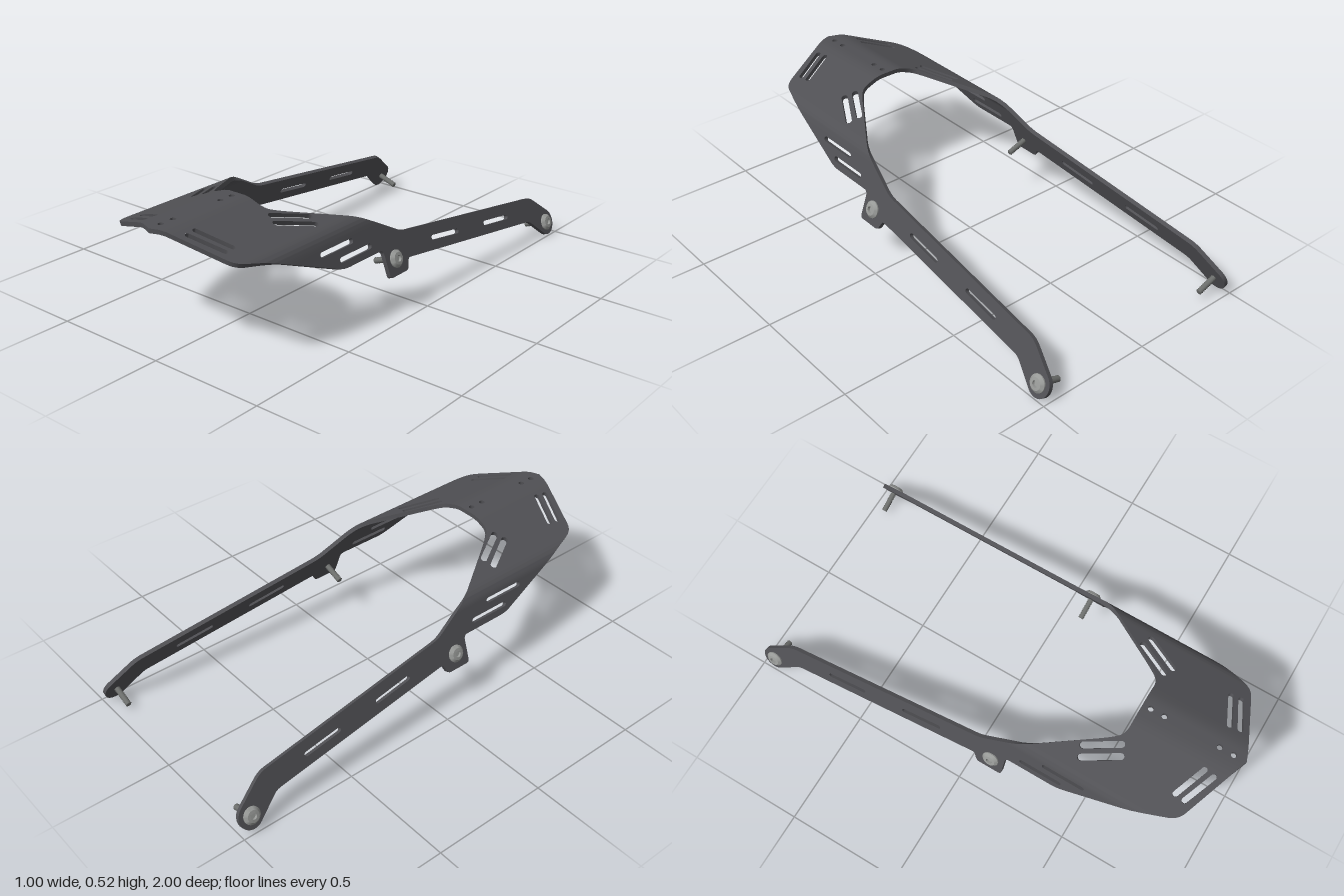
import * as THREE from 'three';
import { toCreasedNormals } from 'three/addons/utils/BufferGeometryUtils.js';

const V2 = (x, y) => new THREE.Vector2(x, y);
const THICK = 0.018;
const SHIFT = 0.006; // the cut pattern sits slightly to the left of the folds

// Folded section of the sheet, outer face, from the centre to the left foot
const halfProfile = [
  [0.04, 0.523], [0.068, 0.518], [0.317, 0.428], [0.332, 0.4207],
  [0.345, 0.4108], [0.3547, 0.3982], [0.362, 0.383], [0.504, -0.01],
].map(p => V2(...p));
const nodes = [...halfProfile.map(p => V2(-p.x, p.y)).reverse(), ...halfProfile];

// Distance along the section (zero at the centre) and inward mitred offsets
const dist = [0];
for (let i = 1; i < nodes.length; i++) dist.push(dist[i - 1] + nodes[i].distanceTo(nodes[i - 1]));
const us = dist.map(d => d - dist[dist.length - 1] / 2);
const segNormal = i => {
  const d = nodes[i + 1].clone().sub(nodes[i]).normalize();
  return V2(d.y, -d.x);
};
const offsets = nodes.map((_, i) => {
  const a = segNormal(Math.max(i - 1, 0)), b = segNormal(Math.min(i, nodes.length - 2));
  const m = a.clone().add(b).normalize();
  return m.divideScalar(m.dot(a));
});

// Fold a flat point: distance u along the section, z, and depth w into the sheet
function fold(u, z, w) {
  let i = 0;
  while (i < us.length - 2 && u > us[i + 1]) i++;
  const t = (u - us[i]) / (us[i + 1] - us[i]);
  const p = nodes[i].clone().lerp(nodes[i + 1], t);
  p.addScaledVector(offsets[i].clone().lerp(offsets[i + 1], t), w);
  return [p.x, p.y, z];
}

// Convert a width x or a height y on the left half to a distance along the section
function unfold(axis, value) {
  if (axis === 'x' && value <= halfProfile[0].x) return value;
  for (let i = nodes.length / 2; i < nodes.length - 1; i++) {
    const t = (value - nodes[i][axis]) / (nodes[i + 1][axis] - nodes[i][axis]);
    if (t <= 1 || i === nodes.length - 2) return us[i] + t * (us[i + 1] - us[i]);
  }
}
const T = (x, z, r = 0) => ({ p: V2(unfold('x', x), z), r });
const S = (z, y, r = 0) => ({ p: V2(unfold('y', y), z), r });

// Flat pattern of the left half: plate nose, side, tab, arm, round foot and back again
const foot = [];
for (let i = 0; i <= 12; i++) {
  const a = THREE.MathUtils.degToRad(-46 - 15 * i);
  foot.push(S(-0.947 + 0.053 * Math.cos(a), 0.065 + 0.053 * Math.sin(a)));
}
const corners = [
  T(0, 1), T(0.306, 0.882, 0.04), T(0.345, 0.76, 0.04),
  S(0.405, 0.278, 0.03), S(0.17, 0.278, 0.02), S(0.168, 0.167, 0.015), S(0.055, 0.167, 0.015),
  S(0.035, 0.209, 0.012), S(-0.82, 0.102, 0.02),
  ...foot,
  S(-0.865, 0.194, 0.03), S(0.04, 0.315, 0.03), S(0.222, 0.41, 0.04),
  T(0.168, 0.505, 0.06), T(0.131, 0.549, 0.04), T(0, 0.549),
];

function roundCorners(list) {
  const out = [];
  list.forEach(({ p, r }, i) => {
    if (!r) return out.push(p);
    const ends = [list[i - 1].p, list[i + 1].p].map(q => {
      const d = q.clone().sub(p);
      return p.clone().add(d.setLength(Math.min(r, d.length() * 0.48)));
    });
    out.push(...new THREE.QuadraticBezierCurve(ends[0], p, ends[1]).getPoints(6));
  });
  return out;
}
const half = roundCorners(corners);
const mirrored = pts => pts.map(p => V2(-p.x, p.y)).reverse();
const outline = [...half, ...mirrored(half.slice(1, -1))];

// Slots and round holes in the flat pattern
function slot(a, b, width) {
  const base = b.clone().sub(a).angle(), pts = [];
  for (let end = 0; end < 2; end++) for (let i = 0; i <= 8; i++) {
    const ang = base + Math.PI * (0.5 + end + i / 8), c = end ? b : a;
    pts.push(V2(c.x + Math.cos(ang) * width / 2, c.y + Math.sin(ang) * width / 2));
  }
  return pts;
}
const leftSlots = [
  [T(0.286, 0.44), T(0.211, 0.575), 0.027], [T(0.243, 0.425), T(0.171, 0.555), 0.027],
  [T(0.231, 0.825), T(0.104, 0.877), 0.023], [T(0.236, 0.867), T(0.111, 0.92), 0.023],
  [S(0.498, 0.36), S(0.33, 0.36), 0.021], [S(0.405, 0.313), S(0.238, 0.313), 0.021],
  [S(-0.143, 0.234), S(-0.303, 0.212), 0.02], [S(-0.503, 0.187), S(-0.661, 0.167), 0.02],
].map(([a, b, w]) => slot(a.p, b.p, w));
const roundHoles = [0.585, 0.645, 0.885, 0.945].map(z =>
  new THREE.Path().absarc(0, z, 0.012, 0, Math.PI * 2).getPoints(8).slice(0, -1));
const contours = [outline, ...leftSlots, ...leftSlots.map(mirrored), ...roundHoles]
  .map(c => c.map(p => V2(p.x + SHIFT, p.y)));
const edges = contours.flatMap(c => c.map((p, i) => [p, c[(i + 1) % c.length]]));

// Cut the pattern into slabs along the section, fold both faces and wall every edge
function sheetGeometry() {
  const verts = [];
  const tri = (...pts) => pts.forEach(p => verts.push(...fold(...p)));

  const cuts = [...us];
  for (const [p] of edges) if (cuts.every(c => Math.abs(c - p.x) > 1e-4)) cuts.push(p.x);
  cuts.sort((a, b) => a - b);
  for (let k = 0; k < cuts.length - 1; k++) {
    const lo = cuts[k], hi = cuts[k + 1], mid = (lo + hi) / 2;
    const zAt = ([p, q], u) =>
      p.y + (q.y - p.y) * THREE.MathUtils.clamp((u - p.x) / (q.x - p.x), 0, 1);
    const crossing = edges.filter(([p, q]) => (p.x < mid) !== (q.x < mid))
      .sort((a, b) => zAt(a, mid) - zAt(b, mid));
    for (let j = 0; j + 1 < crossing.length; j += 2) {
      const [a, b] = [crossing[j], crossing[j + 1]];
      const [a0, a1, b0, b1] = [zAt(a, lo), zAt(a, hi), zAt(b, lo), zAt(b, hi)];
      for (const w of [0, THICK]) {
        const face = (p, q, r) => (w ? tri(p, r, q) : tri(p, q, r));
        if (b0 - a0 > 1e-5) face([lo, a0, w], [lo, b0, w], [hi, b1, w]);
        if (b1 - a1 > 1e-5) face([lo, a0, w], [hi, b1, w], [hi, a1, w]);
      }
    }
  }

  for (const [p, q] of edges) {
    const stops = us.map(u => (u - p.x) / (q.x - p.x)).filter(t => t > 1e-4 && t < 1 - 1e-4);
    const ts = [0, ...stops.sort((a, b) => a - b), 1];
    for (let i = 0; i < ts.length - 1; i++) {
      const a = p.clone().lerp(q, ts[i]), b = p.clone().lerp(q, ts[i + 1]);
      tri([a.x, a.y, 0], [a.x, a.y, THICK], [b.x, b.y, THICK]);
      tri([a.x, a.y, 0], [b.x, b.y, THICK], [b.x, b.y, 0]);
    }
  }
  const geo = new THREE.BufferGeometry();
  geo.setAttribute('position', new THREE.Float32BufferAttribute(verts, 3));
  return toCreasedNormals(geo, 0.5);
}

// Flanged bolt with a socket and a ridged shank, pointing outward along +y
function makeBolt(headPaint, shankPaint) {
  const bolt = new THREE.Group();
  const head = [[0.036, 0], [0.036, 0.005], [0.025, 0.015], [0.013, 0.016], [0.012, 0.006], [0, 0.006]];
  const headGeo = new THREE.LatheGeometry(head.map(p => V2(...p)), 24);
  headGeo.computeVertexNormals();
  const headMesh = new THREE.Mesh(toCreasedNormals(headGeo, 0.4), headPaint);
  headMesh.name = 'boltHead';
  const shank = [V2(0, -0.108), V2(0.01, -0.108)];
  for (let i = 0; i <= 24; i++) shank.push(V2(i % 2 ? 0.0105 : 0.013, -0.105 + i * 0.105 / 24));
  const shankMesh = new THREE.Mesh(new THREE.LatheGeometry(shank, 14), shankPaint);
  shankMesh.name = 'boltShank';
  bolt.add(headMesh, shankMesh);
  return bolt;
}

export function createModel() {
  const model = new THREE.Group();
  model.name = 'foldedBracket';
  const paint = (name, color) => {
    const m = new THREE.MeshStandardMaterial({ color });
    m.name = name;
    return m;
  };
  const headPaint = paint('bright steel', 0x979997);
  const shankPaint = paint('dull steel', 0x6c6e6c);

  const sheet = new THREE.Mesh(sheetGeometry(), paint('charcoal sheet', 0x505054));
  sheet.name = 'foldedSheet';
  model.add(sheet);

  // Two bolts on each side, square to the side panels
  const inward = segNormal(nodes.length - 2);
  for (const side of [1, -1]) {
    for (const [name, z, y] of [['tabBolt', 0.11, 0.227], ['footBolt', -0.945, 0.065]]) {
      const bolt = makeBolt(headPaint, shankPaint);
      bolt.name = (side > 0 ? 'left ' : 'right ') + name;
      bolt.position.set(...fold(side * unfold('y', y) + SHIFT, z, 0));
      bolt.quaternion.setFromUnitVectors(new THREE.Vector3(0, 1, 0),
        new THREE.Vector3(-side * inward.x, -inward.y, 0));
      model.add(bolt);
    }
  }
  return model;
}
